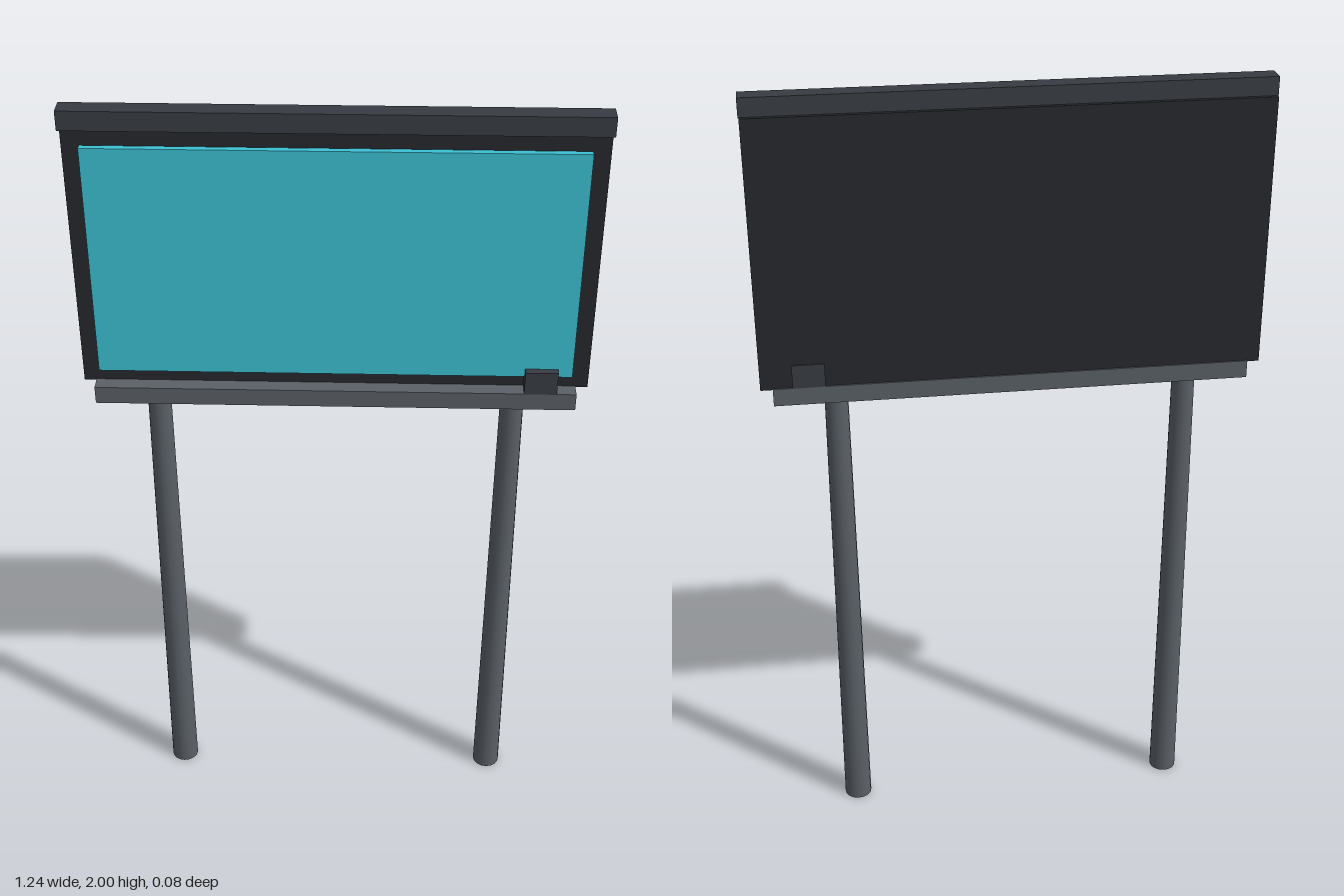
import * as THREE from 'three';

const material = (color) => new THREE.MeshStandardMaterial({ color });

export function createModel() {
  const model = new THREE.Group();
  model.name = 'billboard';

  const steel = material(0x5a6067);
  const dark = material(0x25282c);
  const trim = material(0x383c42);
  const cyan = material(0x3cc0d4);

  // Box given by its extents along each axis
  function box(name, mat, [x0, x1], [y0, y1], [z0, z1]) {
    const mesh = new THREE.Mesh(new THREE.BoxGeometry(x1 - x0, y1 - y0, z1 - z0), mat);
    mesh.position.set((x0 + x1) / 2, (y0 + y1) / 2, (z0 + z1) / 2);
    mesh.name = name;
    model.add(mesh);
  }

  // Tapered posts
  for (const side of [-1, 1]) {
    const post = new THREE.Mesh(new THREE.CylinderGeometry(0.029, 0.036, 1.24, 16), steel);
    post.position.set(side * 0.437, 0.62, 0);
    post.name = side > 0 ? 'leftPost' : 'rightPost';
    model.add(post);
  }

  // Cross beam carrying the board
  box('crossBeam', steel, [-0.59, 0.59], [1.24, 1.285], [-0.041, 0.04]);

  // Board, display surface and top cap
  box('backPanel', dark, [-0.62, 0.62], [1.282, 1.955], [-0.037, 0]);
  box('screen', cyan, [-0.578, 0.578], [1.323, 1.91], [0.004, 0.021]);
  box('topCap', trim, [-0.622, 0.622], [1.953, 2.0], [-0.026, 0.024]);

  // Small control box clamped over the lower edge
  box('controlBox', trim, [0.462, 0.542], [1.284, 1.345], [-0.041, 0.04]);

  return model;
}
